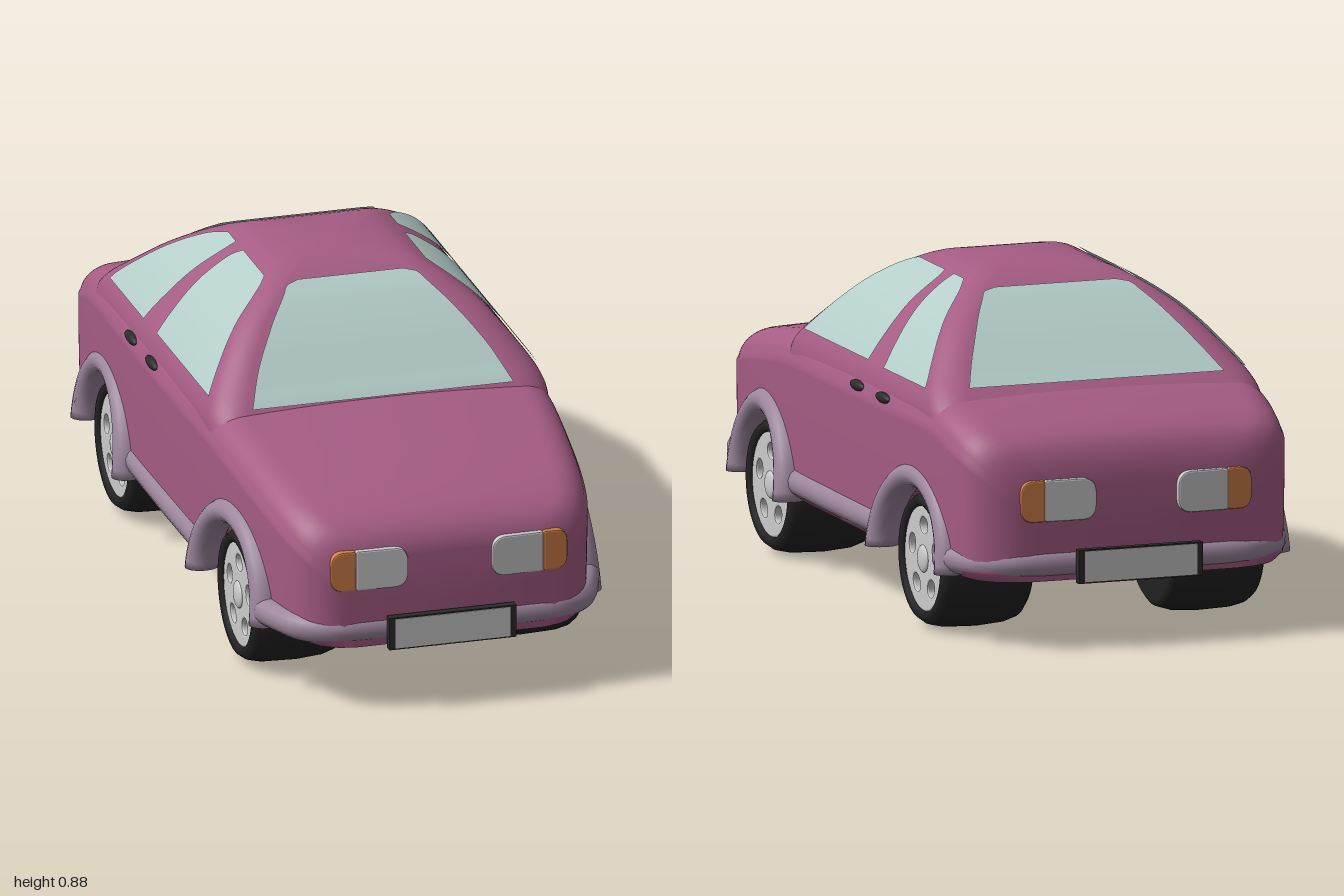
import * as THREE from 'three';

const mat = (color, side = THREE.FrontSide) => new THREE.MeshStandardMaterial({ color, side });
const paint = mat(0xa55c84), trim = mat(0x9c869c), rubber = mat(0x222222), dark = mat(0x2b2b2b);
const silver = mat(0xcccccc), amber = mat(0xd07f48), glass = mat(0xb4cdc8, THREE.DoubleSide);
const V = (x, y, z) => new THREE.Vector3(x, y, z);

function add(parent, name, geometry, material) {
  const mesh = new THREE.Mesh(geometry, material);
  mesh.name = name;
  parent.add(mesh);
  return mesh;
}

// Smooth interpolation of column k in rows sorted by column 0
function interp(rows, t, k) {
  const n = rows.length;
  let i = 0;
  while (i < n - 2 && t > rows[i + 1][0]) i++;
  const slope = (j) => {
    const a = rows[Math.max(j - 1, 0)], b = rows[Math.min(j + 1, n - 1)];
    return (b[k] - a[k]) / (b[0] - a[0]);
  };
  const a = rows[i], b = rows[i + 1], h = b[0] - a[0], s = (t - a[0]) / h;
  const s2 = s * s, s3 = s2 * s;
  return (2 * s3 - 3 * s2 + 1) * a[k] + (s3 - 2 * s2 + s) * h * slope(i)
    + (3 * s2 - 2 * s3) * b[k] + (s3 - s2) * h * slope(i + 1);
}

// Table positions plus even steps between them
function stations(rows, step) {
  const out = [rows[0][0]];
  for (let i = 1; i < rows.length; i++) {
    const a = rows[i - 1][0], b = rows[i][0], n = Math.max(1, Math.ceil((b - a) / step));
    for (let j = 1; j <= n; j++) out.push(a + (b - a) * j / n);
  }
  return out;
}

// Skin over closed rings, capped at both ends
function loft(rings) {
  const n = rings[0].length, m = rings.length, pos = [], idx = [];
  for (const ring of rings) for (const p of ring) pos.push(p.x, p.y, p.z);
  for (let i = 0; i < m - 1; i++) for (let j = 0; j < n; j++) {
    const k = (j + 1) % n, a = i * n + j, b = i * n + k;
    idx.push(a, b, b + n, a, b + n, a + n);
  }
  for (const end of [0, m - 1]) {
    const c = rings[end].reduce((s, p) => s.add(p), V(0, 0, 0)).divideScalar(n);
    const ci = pos.length / 3;
    pos.push(c.x, c.y, c.z);
    for (let j = 0; j < n; j++) {
      const a = end * n + j, b = end * n + (j + 1) % n;
      if (end === 0) idx.push(ci, b, a); else idx.push(ci, a, b);
    }
  }
  const g = new THREE.BufferGeometry();
  g.setAttribute('position', new THREE.Float32BufferAttribute(pos, 3));
  g.setIndex(idx);
  g.computeVertexNormals();
  return g;
}

const AXLES = [0.53, -0.57], AXLE_Y = 0.183;

// Lower body: z, half width, top height
const BODY = [[-0.962, 0.30, 0.43], [-0.953, 0.345, 0.48], [-0.93, 0.395, 0.53], [-0.89, 0.43, 0.562],
  [-0.82, 0.448, 0.59], [-0.70, 0.457, 0.622], [-0.4, 0.462, 0.625], [0, 0.462, 0.625], [0.35, 0.456, 0.62],
  [0.6, 0.437, 0.587], [0.78, 0.415, 0.553], [0.88, 0.39, 0.523], [0.93, 0.36, 0.492],
  [0.957, 0.32, 0.455], [0.968, 0.28, 0.42]];

function bodyRing(z) {
  const w = interp(BODY, z, 1), top = interp(BODY, z, 2), rx = 0.09, ry = 0.08, half = [];
  for (let i = 0; i <= 16; i++) half.push([(w - 0.025) * i / 16, 0.18]);
  for (let i = 0; i <= 26; i++) {
    const y = 0.2 + (top - ry - 0.2) * i / 26;
    half.push([w + 0.005 * Math.sin((y - 0.2) * 6), y]);
  }
  for (let i = 1; i <= 10; i++) {
    const a = i / 10 * Math.PI / 2;
    half.push([w - rx + rx * Math.cos(a), top - ry + (ry - 0.008) * Math.sin(a)]);
  }
  for (let i = 1; i <= 6; i++) {
    const s = 1 - i / 6;
    half.push([(w - rx) * s, top - 0.008 * s * s]);
  }
  const mirrored = half.slice(1, -1).reverse().map(([x, y]) => [-x, y]);
  return [...half, ...mirrored].map(([x, y]) => {
    // wheel wells: pull the skin inwards around each axle
    if (AXLES.some((c) => Math.hypot(z - c, y - AXLE_Y) < 0.215)) x = Math.max(-0.17, Math.min(0.17, x));
    return V(x, y, z);
  });
}

// Cabin: y, half width, front z, rear z
const CABIN = [[0.50, 0.455, 0.42, -0.78], [0.58, 0.452, 0.40, -0.74], [0.62, 0.44, 0.37, -0.70],
  [0.66, 0.415, 0.325, -0.645], [0.70, 0.385, 0.28, -0.59], [0.74, 0.352, 0.235, -0.535],
  [0.78, 0.312, 0.185, -0.475], [0.82, 0.258, 0.13, -0.41], [0.85, 0.207, 0.075, -0.35],
  [0.867, 0.165, 0.035, -0.30], [0.875, 0.12, -0.01, -0.25], [0.879, 0.05, -0.07, -0.18]];

function cabinRing(y) {
  const w = interp(CABIN, y, 1), f = interp(CABIN, y, 2), b = interp(CABIN, y, 3), ring = [];
  const r = Math.min(0.04 + 0.16 * Math.max(0, 0.87 - y), 0.08);
  const corners = [[w - r, f - r], [w - r, b + r], [r - w, b + r], [r - w, f - r]];
  corners.forEach(([x, z], q) => {
    for (let i = 0; i <= 8; i++) {
      const a = (q + i / 8) * Math.PI / 2;
      ring.push(V(x + r * Math.sin(a), y, z + r * Math.cos(a)));
    }
  });
  return ring;
}

// Glass pane lying on the cabin; rows hold y and the two ends of the pane
function pane(rows, place) {
  const pos = [], idx = [], ys = stations(rows, 0.01), cols = 4;
  ys.forEach((y, i) => {
    const a = interp(rows, y, 1), b = interp(rows, y, 2);
    for (let j = 0; j <= cols; j++) {
      pos.push(...place(a + (b - a) * j / cols, y));
      const k = i * (cols + 1) + j, up = k + cols + 1;
      if (i < ys.length - 1 && j < cols) idx.push(k, k + 1, up + 1, k, up + 1, up);
    }
  });
  const g = new THREE.BufferGeometry();
  g.setAttribute('position', new THREE.Float32BufferAttribute(pos, 3));
  g.setIndex(idx);
  g.computeVertexNormals();
  return g;
}

// Lamp lens with separate rounding at its inner and outer ends
function lens(x0, x1, r0, r1) {
  const s = new THREE.Shape(), y0 = 0.34, y1 = 0.44;
  s.moveTo(x0 + r0, y0).lineTo(x1 - r1, y0).quadraticCurveTo(x1, y0, x1, y0 + r1);
  s.lineTo(x1, y1 - r1).quadraticCurveTo(x1, y1, x1 - r1, y1).lineTo(x0 + r0, y1);
  s.quadraticCurveTo(x0, y1, x0, y1 - r0).lineTo(x0, y0 + r0).quadraticCurveTo(x0, y0, x0 + r0, y0);
  return new THREE.ExtrudeGeometry(s, { depth: 0.035, bevelSize: 0.004, bevelThickness: 0.004, bevelSegments: 2 });
}

function tube(points, radius) {
  return new THREE.TubeGeometry(new THREE.CatmullRomCurve3(points), 48, radius, 14);
}

function makeWheel() {
  const wheel = new THREE.Group();
  wheel.name = 'wheel';
  const profile = [[0, 0.187], [0.148, 0.187], [0.165, 0.2], [0.176, 0.235], [0.181, 0.3], [0.178, 0.39],
    [0.17, 0.425], [0.157, 0.443], [0.14, 0.441], [0.136, 0.432], [0.134, 0.412], [0, 0.412]];
  add(wheel, 'tyre', new THREE.LatheGeometry(profile.map((p) => new THREE.Vector2(...p)), 40)
    .rotateZ(-Math.PI / 2), rubber);
  const disc = new THREE.Shape().absarc(0, 0, 0.132, 0, Math.PI * 2);
  for (let i = 0; i < 5; i++) {
    const a = Math.PI / 2 + i * Math.PI * 0.4;
    disc.holes.push(new THREE.Path().absellipse(0.087 * Math.cos(a), 0.087 * Math.sin(a),
      0.026, 0.031, 0, Math.PI * 2, false, a));
  }
  add(wheel, 'rim', new THREE.ExtrudeGeometry(disc, { depth: 0.014, bevelSize: 0.005, bevelThickness: 0.005,
    bevelSegments: 2, curveSegments: 20 }).rotateY(Math.PI / 2), silver).position.x = 0.415;
  add(wheel, 'hub', new THREE.SphereGeometry(0.036, 20, 12).scale(0.3, 1, 1), silver).position.x = 0.434;
  return wheel;
}

// Rounded arch over a wheel, bulging outwards at its feet
function flare(z0, x0, lean) {
  const rings = [];
  for (let i = 0; i <= 32; i++) {
    const a = Math.PI * i / 32, ring = [];
    for (let j = 0; j < 16; j++) {
      const p = Math.PI * j / 8, r = 0.219 + 0.035 * Math.cos(p);
      ring.push(V(x0 - 0.02 * Math.sin(a) + lean * 0.22 * Math.cos(a) + 0.046 * Math.sin(p),
        AXLE_Y + r * Math.sin(a), z0 + r * Math.cos(a)));
    }
    rings.push(ring);
  }
  return loft(rings);
}

export function createModel() {
  const car = new THREE.Group();
  car.name = 'car';
  add(car, 'lowerBody', loft(stations(BODY, 0.015).map(bodyRing)), paint);
  add(car, 'cabin', loft(stations(CABIN, 0.015).map(cabinRing)), paint);

  // windscreen and rear window
  add(car, 'windscreen', pane([[0.62, -0.35, 0.35], [0.70, -0.305, 0.305], [0.78, -0.24, 0.24],
    [0.83, -0.187, 0.187], [0.842, -0.172, 0.172], [0.848, -0.14, 0.14]],
  (x, y) => [x, y + 0.003, interp(CABIN, y, 2) + 0.005]), glass);
  add(car, 'rearWindow', pane([[0.638, -0.35, 0.35], [0.70, -0.31, 0.31], [0.78, -0.25, 0.25],
    [0.82, -0.212, 0.212], [0.832, -0.198, 0.198], [0.838, -0.165, 0.165]],
  (x, y) => [x, y + 0.003, interp(CABIN, y, 3) - 0.005]), glass);

  // everything on one flank, then its mirror image
  const flank = new THREE.Group();
  flank.name = 'leftSide';
  const onSide = (z, y) => [interp(CABIN, y, 1) + 0.005, y + 0.003, z];
  add(flank, 'frontSideWindow', pane([[0.632, -0.186, 0.28], [0.72, -0.184, 0.2], [0.80, -0.178, 0.12],
    [0.835, -0.172, 0.07], [0.848, -0.155, 0.035]], onSide), glass);
  add(flank, 'rearSideWindow', pane([[0.63, -0.60, -0.297], [0.65, -0.585, -0.292], [0.72, -0.505, -0.263],
    [0.785, -0.42, -0.237], [0.83, -0.345, -0.22], [0.848, -0.29, -0.218]], onSide), glass);
  for (const z of [-0.16, -0.345]) {
    add(flank, 'doorHandle', new THREE.SphereGeometry(1, 20, 12).scale(0.013, 0.014, 0.046), dark)
      .position.set(0.458, 0.565, z);
  }
  add(flank, 'frontFlare', flare(AXLES[0], 0.446, -0.09), trim);
  add(flank, 'rearFlare', flare(AXLES[1], 0.453, 0.05), trim);
  add(flank, 'sill', tube([V(0.443, 0.232, 0.32), V(0.445, 0.232, 0), V(0.443, 0.232, -0.36)], 0.037), trim);
  for (const z of AXLES) {
    const wheel = makeWheel();
    wheel.position.set(0, AXLE_Y, z);
    flank.add(wheel);
  }
  const otherFlank = flank.clone();
  otherFlank.name = 'rightSide';
  otherFlank.scale.x = -1;
  car.add(flank, otherFlank);

  // front end: bumper, number plate and lamps; the rear end mirrors it
  const front = new THREE.Group();
  front.name = 'frontEnd';
  const bend = [[0.428, 0.755], [0.405, 0.82], [0.37, 0.89], [0.30, 0.932], [0.15, 0.94]];
  const path = [...bend.map(([x, z]) => V(x, 0.223, z)), V(0, 0.223, 0.942),
    ...bend.slice().reverse().map(([x, z]) => V(-x, 0.223, z))];
  const bumper = add(front, 'bumper', tube(path, 0.037), trim);
  add(front, 'plateFrame', new THREE.BoxGeometry(0.34, 0.088, 0.022), dark).position.set(0, 0.218, 0.987);
  add(front, 'plate', new THREE.BoxGeometry(0.308, 0.08, 0.004), silver).position.set(0, 0.218, 0.998);
  const lamp = new THREE.Group();
  lamp.name = 'leftLamp';
  add(lamp, 'lampLens', lens(0.115, 0.246, 0.035, 0.002), silver);
  add(lamp, 'indicator', lens(0.254, 0.311, 0.002, 0.03), amber);
  lamp.rotation.y = 0.04;
  lamp.position.set(0, 0, 0.942);
  const lampSide = new THREE.Group();
  lampSide.name = 'lampSide';
  lampSide.add(lamp);
  const lampMirror = lampSide.clone();
  lampMirror.scale.x = -1;
  front.add(lampSide, lampMirror);
  const rear = front.clone();
  rear.name = 'rearEnd';
  rear.scale.z = -1;
  rear.getObjectByName(bumper.name).scale.x = 1.05;
  car.add(front, rear);
  return car;
}
